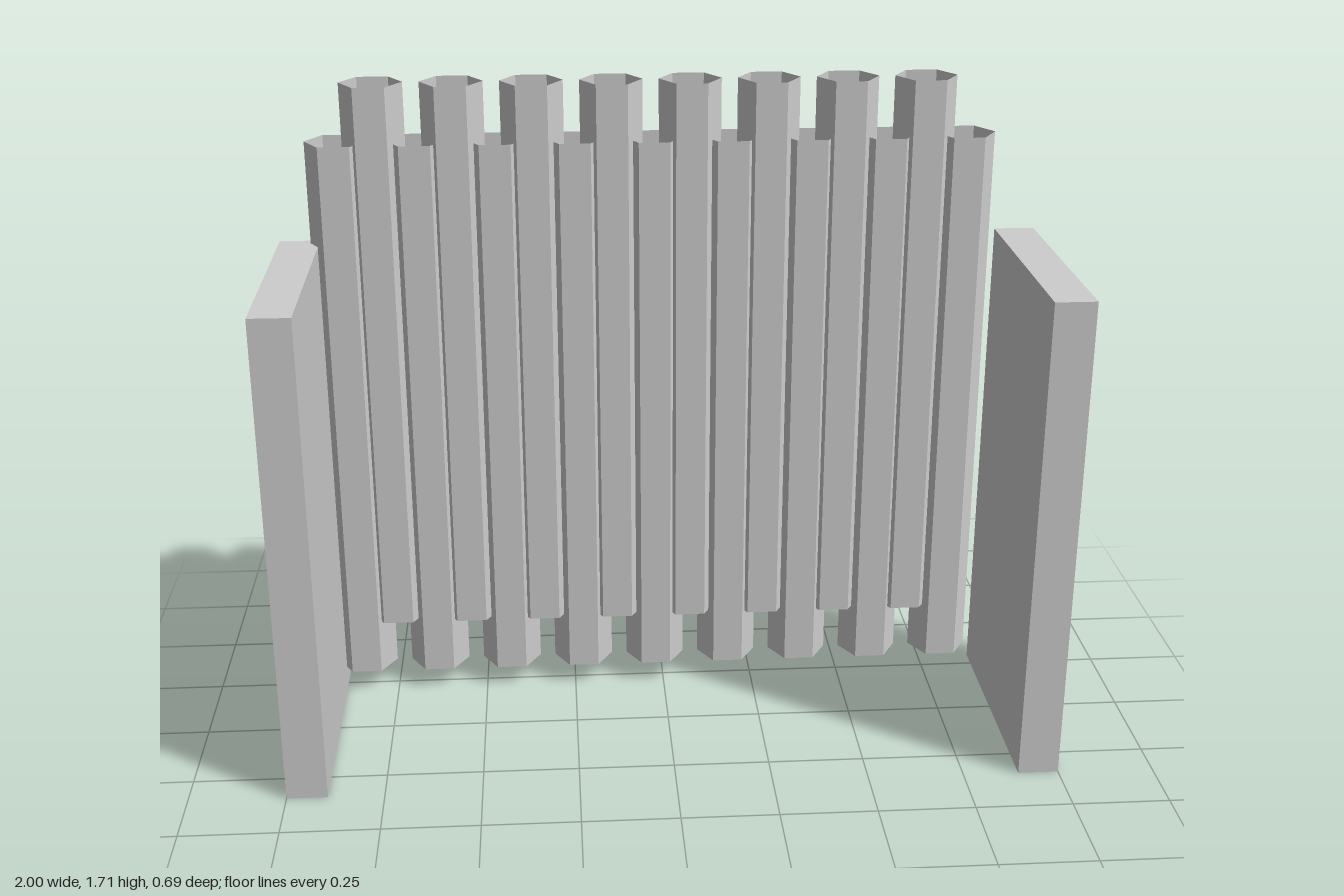
import * as THREE from 'three';

export function createModel() {
  const model = new THREE.Group();
  model.name = 'tubeScreen';

  const panelGrey = new THREE.MeshStandardMaterial({ color: 0xcccccc, side: THREE.DoubleSide, flatShading: true });
  panelGrey.name = 'light grey';

  // Two upright side panels
  const panelGeometry = new THREE.BoxGeometry(0.105, 1.29, 0.645);
  for (const side of [-1, 1]) {
    const panel = new THREE.Mesh(panelGeometry, panelGrey);
    panel.name = side > 0 ? 'leftPanel' : 'rightPanel';
    panel.position.set(side * 0.9475, 0.645, 0.023);
    model.add(panel);
  }

  // Open hexagonal tubes with a flat side to the front
  const tubeGeometry = new THREE.CylinderGeometry(0.081, 0.081, 1.5, 6, 1, true, Math.PI / 6);
  const pitch = 0.2036;
  function addRow(name, count, firstX, bottomY) {
    const row = new THREE.Group();
    row.name = name + 'Row';
    for (let i = 0; i < count; i++) {
      const tube = new THREE.Mesh(tubeGeometry, panelGrey);
      tube.name = name;
      tube.position.set(firstX + i * pitch, bottomY + 0.75, -0.274);
      row.add(tube);
    }
    model.add(row);
  }

  // Alternating low and raised tubes
  addRow('lowTube', 9, -0.836, 0.06);
  addRow('raisedTube', 8, -0.74, 0.21);

  return model;
}
